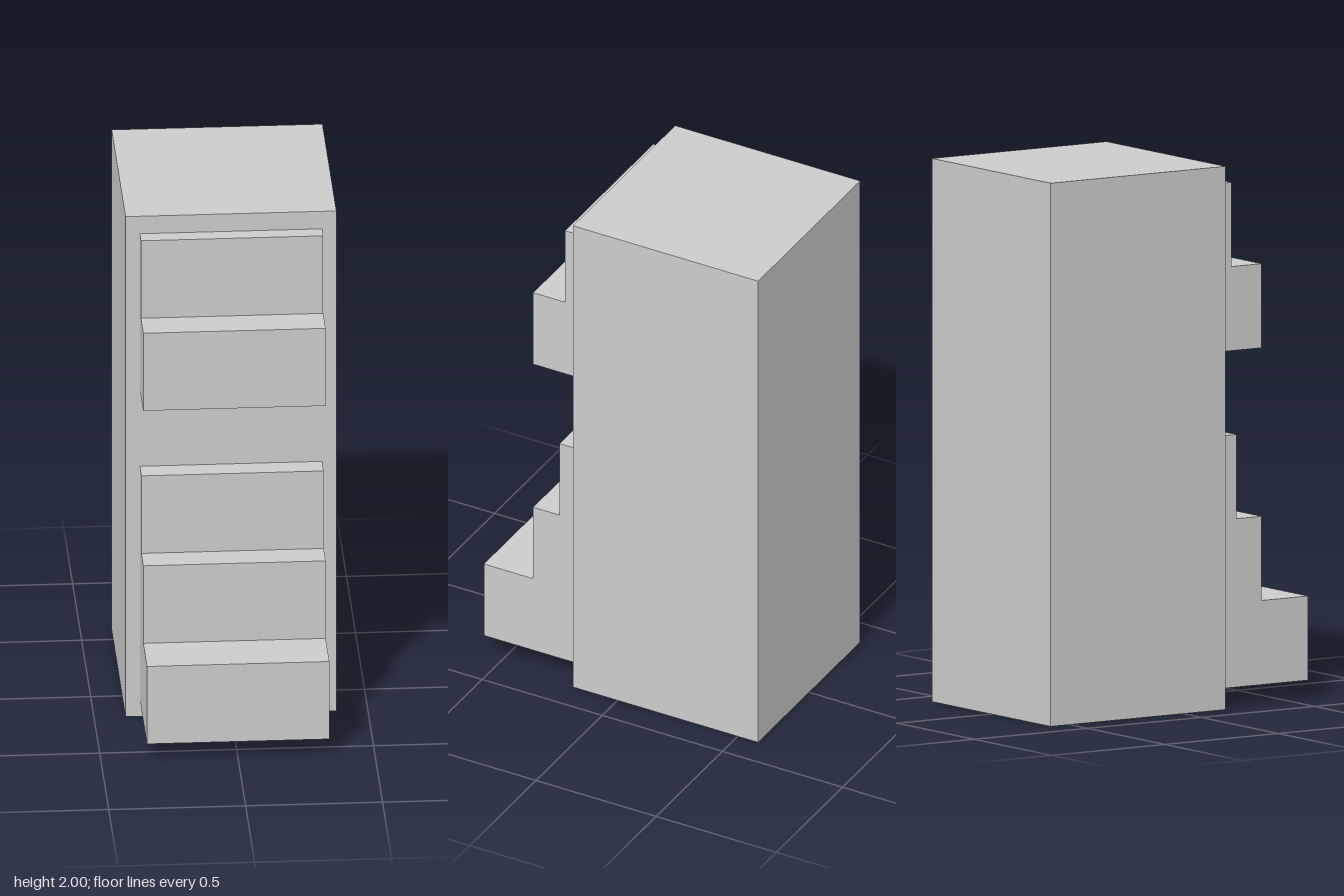
import * as THREE from 'three';
import { mergeGeometries } from 'three/addons/utils/BufferGeometryUtils.js';

const material = new THREE.MeshStandardMaterial({ color: 0xcccccc, side: THREE.DoubleSide, flatShading: true });

// Thin box shell made only of the listed sides, normals pointing outwards
function shell(name, [x0, x1], [y0, y1], [z0, z1], sides) {
  const w = x1 - x0, h = y1 - y0, d = z1 - z0;
  const make = {
    front: () => new THREE.PlaneGeometry(w, h).translate(0, 0, d / 2),
    back: () => new THREE.PlaneGeometry(w, h).rotateY(Math.PI).translate(0, 0, -d / 2),
    left: () => new THREE.PlaneGeometry(d, h).rotateY(Math.PI / 2).translate(w / 2, 0, 0),
    right: () => new THREE.PlaneGeometry(d, h).rotateY(-Math.PI / 2).translate(-w / 2, 0, 0),
    top: () => new THREE.PlaneGeometry(w, d).rotateX(-Math.PI / 2).translate(0, h / 2, 0),
    bottom: () => new THREE.PlaneGeometry(w, d).rotateX(Math.PI / 2).translate(0, -h / 2, 0),
  };
  const mesh = new THREE.Mesh(mergeGeometries(sides.map((s) => make[s]())), material);
  mesh.name = name;
  mesh.position.set((x0 + x1) / 2, (y0 + y1) / 2, (z0 + z1) / 2);
  return mesh;
}

function rectangle(PathType, x, y0, y1) {
  return new PathType([[-x, y0], [x, y0], [x, y1], [-x, y1]].map((p) => new THREE.Vector2(...p)));
}

export function createModel() {
  const model = new THREE.Group();
  model.name = 'chestOfDrawers';
  const halfWidth = 0.385, drawerHalf = 0.333, back = -0.585, front = 0.185, height = 2;

  // Drawer stacks: bottom edge, then the front of each drawer from the lowest up
  const drawerHeight = 0.31;
  const stacks = [
    { name: 'lower', y: 0.07, fronts: [0.585, 0.38, 0.27] },
    { name: 'upper', y: 1.31, fronts: [0.38, 0.247] },
  ];

  // Cabinet body, open underneath
  model.add(shell('cabinetBody', [-halfWidth, halfWidth], [0, height], [back, front],
    ['back', 'left', 'right', 'top']));

  // Front frame with one opening per stack
  const frame = rectangle(THREE.Shape, halfWidth, 0, height);
  for (const s of stacks) {
    frame.holes.push(rectangle(THREE.Path, drawerHalf, s.y, s.y + s.fronts.length * drawerHeight));
  }
  const frontFrame = new THREE.Mesh(new THREE.ShapeGeometry(frame), material);
  frontFrame.name = 'frontFrame';
  frontFrame.position.z = front;
  model.add(frontFrame);

  // Pulled-out drawers, hollow and open to the cabinet; neighbours share a panel
  for (const s of stacks) {
    const stack = new THREE.Group();
    stack.name = s.name + 'Drawers';
    s.fronts.forEach((z, i) => {
      const y = s.y + i * drawerHeight;
      const sides = ['front', 'left', 'right', 'top'];
      if (i === 0) sides.push('bottom');
      stack.add(shell(`${s.name}Drawer${i + 1}`, [-drawerHalf, drawerHalf], [y, y + drawerHeight], [front, z], sides));
    });
    model.add(stack);
  }
  return model;
}
